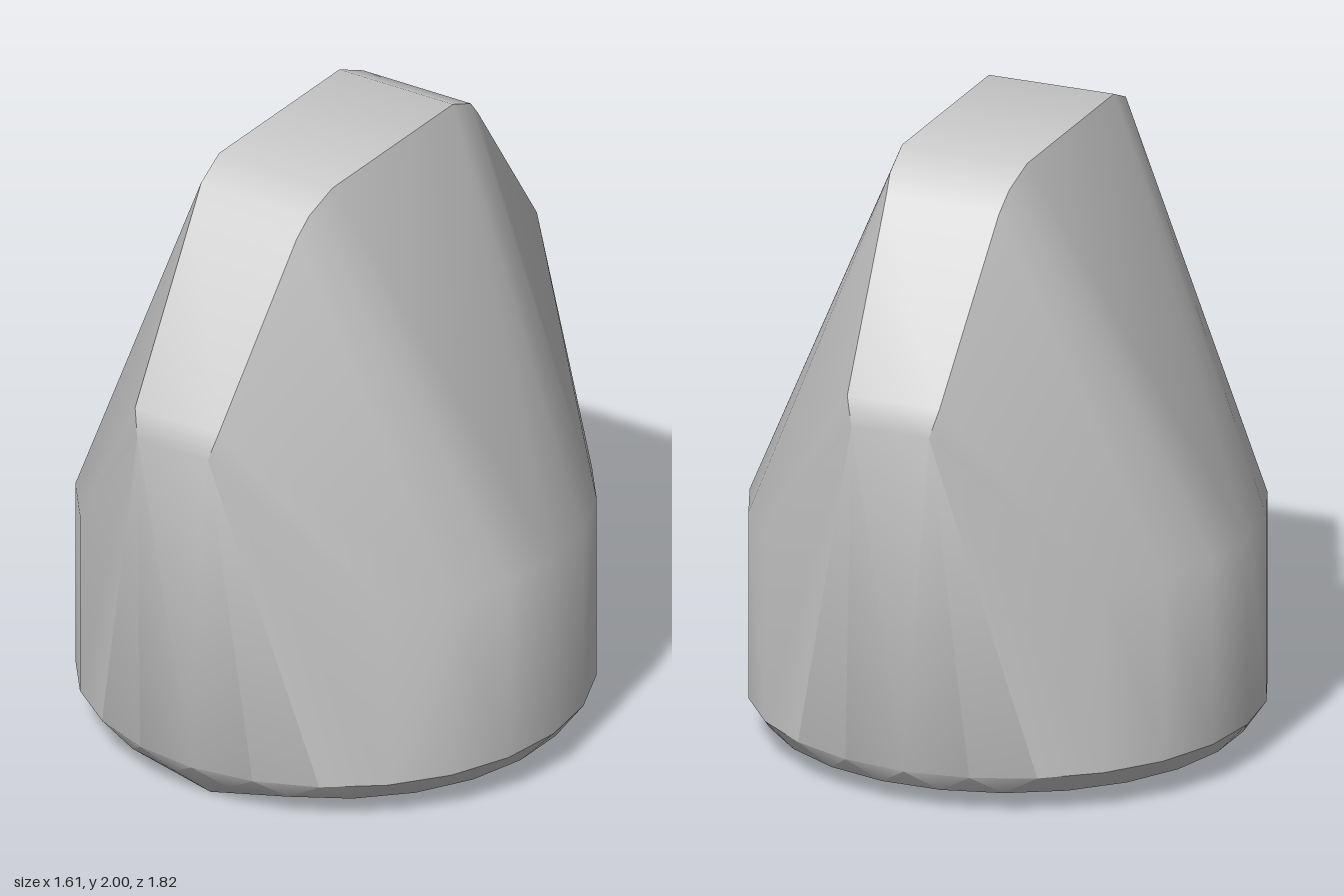
import * as THREE from 'three';
import { ConvexGeometry } from 'three/addons/geometries/ConvexGeometry.js';
import { toCreasedNormals } from 'three/addons/utils/BufferGeometryUtils.js';

const SIDES = 24;

// Points of a horizontal circle, turned by a fraction of one side
function ring(radius, y, turn = 0) {
  return Array.from({ length: SIDES }, (_, i) => {
    const a = ((i + turn) / SIDES) * Math.PI * 2;
    return new THREE.Vector3(Math.cos(a) * radius, y, Math.sin(a) * radius);
  });
}

export function createModel() {
  const group = new THREE.Group();
  group.name = 'taperedBlock';

  // Round lower body: bevelled foot, wall and shoulder
  const points = [
    ...ring(0.755, 0.065, 0.5),
    ...ring(0.805, 0.13),
    ...ring(0.805, 0.74),
  ];

  // Lowest point of the tilted underside
  points.push(new THREE.Vector3(0, 0, 0.7));

  // Flat crest and the sloping strips to front and back: [half width, y, z]
  const strip = [
    [0.21, 2, 0.335],
    [0.2, 1.95, 0.45],
    [0.19, 1.89, 0.505],
    [0.155, 1.37, 0.885],
    [0.13, 1.28, 0.91],
  ];
  for (const [x, y, z] of strip) {
    for (const sx of [-1, 1]) {
      for (const sz of [-1, 1]) points.push(new THREE.Vector3(sx * x, y, sz * z));
    }
  }

  // The convex skin over all sections, smooth except at its hard edges
  const body = new THREE.Mesh(
    toCreasedNormals(new ConvexGeometry(points), 0.55),
    new THREE.MeshStandardMaterial({ color: 0xcccccc })
  );
  body.name = 'body';
  group.add(body);
  return group;
}
